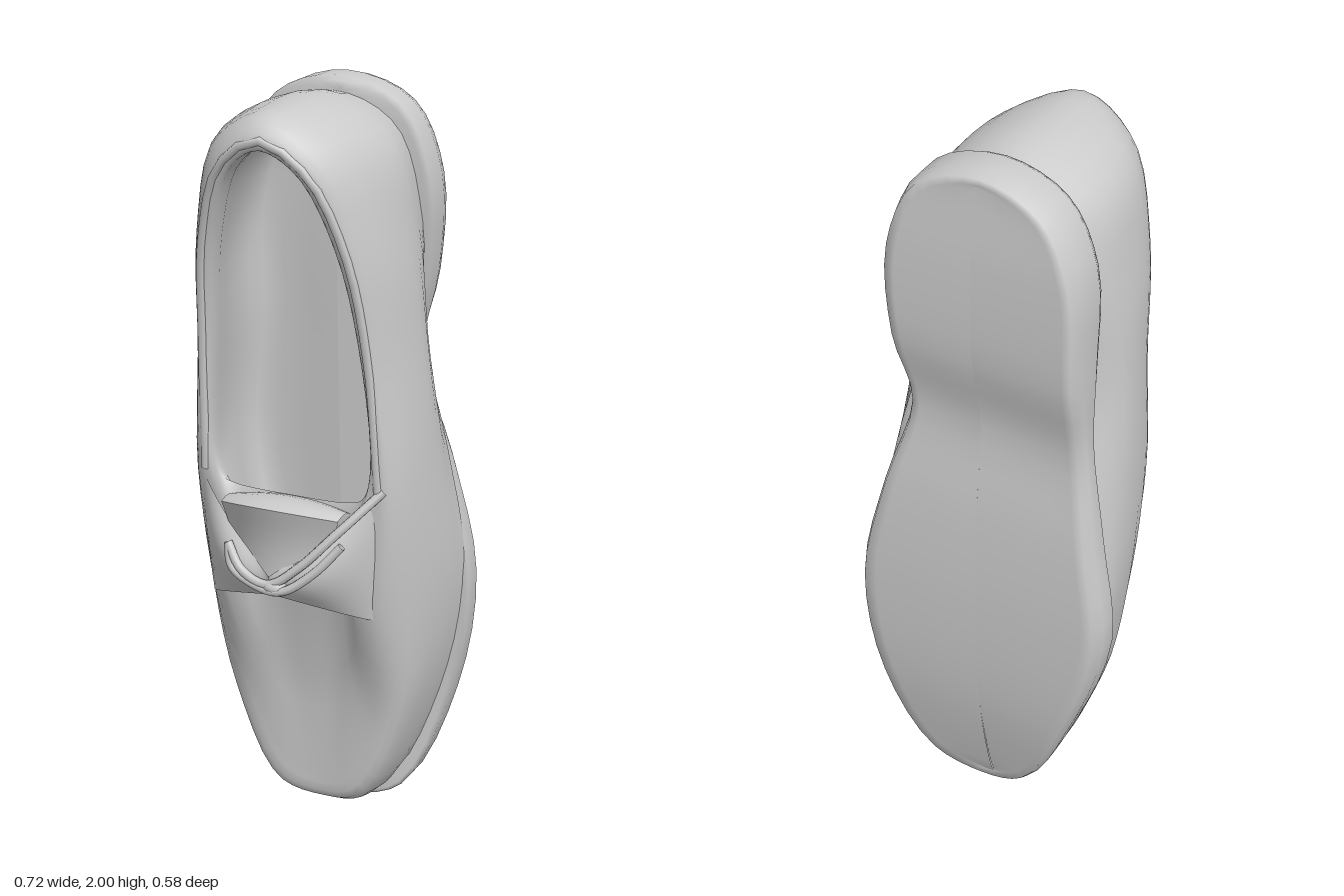
import * as THREE from 'three';
import { ParametricGeometry } from 'three/addons/geometries/ParametricGeometry.js';

const material = new THREE.MeshStandardMaterial({ color: 0xcccccc, side: THREE.DoubleSide });
const AROUND = 72;
const V = (p) => new THREE.Vector3(...p);
const mix = (a, b, t) => a + (b - a) * t;

function named(name, geometry) {
  const mesh = new THREE.Mesh(geometry, material);
  mesh.name = name;
  return mesh;
}

// Closed smooth ring through control points, sampled evenly in parameter
function ring(points) {
  const curve = new THREE.CatmullRomCurve3(points.map(V), true, 'centripetal');
  return Array.from({ length: AROUND }, (_, i) => curve.getPoint(i / AROUND));
}

// The upper leans slightly sideways from toe to heel
const lean = ([x, y, z]) => [x + 0.03 - 0.022 * y, y, z];

// Half ring from toe to heel, mirrored to the other side
const mirrored = (half) => [...half, ...half.slice(1, -1).reverse().map(([x, y, z]) => [-x, y, z])].map(lean);

// Skin over a stack of rings, with optional smooth steps between them
function loft(rings, steps = 1) {
  const rows = [];
  const columns = Array.from({ length: AROUND }, (_, i) =>
    new THREE.CatmullRomCurve3(rings.map((r) => r[i]), false, 'centripetal'));
  const count = (rings.length - 1) * steps;
  for (let k = 0; k <= count; k++) rows.push(columns.map((c) => c.getPoint(k / count)));
  const index = [];
  for (let k = 0; k < count; k++) {
    for (let i = 0; i < AROUND; i++) {
      const j = (i + 1) % AROUND;
      const a = k * AROUND + i, b = k * AROUND + j, c = a + AROUND, d = b + AROUND;
      index.push(a, b, d, a, d, c);
    }
  }
  const geometry = new THREE.BufferGeometry().setFromPoints(rows.flat());
  geometry.setIndex(index);
  geometry.computeVertexNormals();
  return geometry;
}

// Sole outline: x, y, tread z, welt z
const soleOutline = [
  [0.04, 0, -0.2, -0.14], [0.19, 0.05, -0.22, -0.145], [0.315, 0.34, -0.275, -0.18],
  [0.355, 0.68, -0.29, -0.19], [0.285, 1.0, -0.275, -0.185], [0.205, 1.28, -0.245, -0.175],
  [0.235, 1.5, -0.285, -0.16], [0.24, 1.76, -0.285, -0.145], [0.16, 1.94, -0.27, -0.14],
  [-0.02, 2.0, -0.265, -0.14], [-0.19, 1.94, -0.27, -0.14], [-0.275, 1.78, -0.285, -0.145],
  [-0.285, 1.5, -0.285, -0.16], [-0.285, 1.28, -0.245, -0.175], [-0.325, 1.0, -0.275, -0.185],
  [-0.36, 0.69, -0.29, -0.19], [-0.25, 0.34, -0.275, -0.18], [-0.1, 0.06, -0.22, -0.145],
];

function makeSole() {
  // x scale, y scale about the middle, blend from tread to welt
  const layers = [[0, 0.97, 0.03], [0.86, 0.97, 0.02], [0.95, 0.99, 0], [1, 1, 0.3], [1, 1, 0.85], [0.97, 0.99, 1], [0, 0.97, 1]];
  return named('sole', loft(layers.map(([sx, sy, t]) => ring(soleOutline.map(([x, y, zb, zf]) =>
    [x * sx, 1 + (y - 1) * sy, mix(zb, zf, t)])))));
}

// Upper: rings from the welt, over the vamp and collar, then down inside to the insole
const lowerRings = [
  [[0.01, 0.06, -0.16], [0.135, 0.085, -0.16], [0.265, 0.35, -0.195], [0.33, 0.7, -0.205], [0.28, 1.05, -0.2],
    [0.215, 1.35, -0.19], [0.23, 1.65, -0.17], [0.165, 1.89, -0.155], [0, 1.96, -0.155]],
  [[0.01, 0.045, -0.07], [0.135, 0.075, -0.07], [0.262, 0.35, -0.08], [0.328, 0.7, -0.1], [0.318, 1.05, -0.07],
    [0.295, 1.35, -0.05], [0.265, 1.65, -0.04], [0.2, 1.89, -0.03], [0, 1.985, -0.03]],
  [[0.01, 0.07, 0.03], [0.12, 0.1, 0.035], [0.24, 0.35, 0.035], [0.29, 0.68, 0.06], [0.303, 1.02, 0.08],
    [0.288, 1.35, 0.07], [0.26, 1.65, 0.1], [0.18, 1.9, 0.14], [0, 1.985, 0.13]],
  [[0.01, 0.14, 0.038], [0.085, 0.17, 0.042], [0.18, 0.38, 0.055], [0.23, 0.68, 0.125], [0.275, 1.0, 0.14],
    [0.262, 1.35, 0.14], [0.232, 1.65, 0.18], [0.15, 1.88, 0.23], [0, 1.97, 0.245]],
];
const collarRings = [
  [[0, 0.45, 0.05], [0.07, 0.46, 0.052], [0.12, 0.51, 0.07], [0.175, 0.72, 0.135], [0.25, 1.02, 0.158],
    [0.235, 1.37, 0.178], [0.2, 1.65, 0.222], [0.12, 1.85, 0.268], [0, 1.925, 0.285]],
  [[0, 0.98, 0.15], [0.08, 0.98, 0.15], [0.16, 0.985, 0.15], [0.2, 1.0, 0.15], [0.222, 1.08, 0.15],
    [0.205, 1.38, 0.165], [0.165, 1.65, 0.21], [0.09, 1.84, 0.26], [0, 1.895, 0.278]],
  [[0, 0.72, 0.03], [0.08, 0.73, 0.03], [0.16, 0.8, 0.03], [0.22, 0.95, 0.03], [0.25, 1.1, 0],
    [0.235, 1.38, 0], [0.21, 1.65, 0.02], [0.13, 1.85, 0.03], [0, 1.93, 0.03]],
  [[0, 0.5, -0.12], [0.08, 0.52, -0.12], [0.17, 0.65, -0.13], [0.23, 0.9, -0.13], [0.24, 1.1, -0.13],
    [0.21, 1.38, -0.13], [0.2, 1.65, -0.12], [0.13, 1.84, -0.12], [0, 1.92, -0.12]],
];

function makeUpper() {
  const halves = [...lowerRings, ...collarRings];
  halves.push(collarRings[3].map(([, y]) => [0, y, -0.135]));
  return named('upper', loft(halves.map((h) => ring(mirrored(h))), 3));
}

// Thin curved panel: f(u, v) gives [x, y, z]
function panel(name, f, nu, nv) {
  return named(name, new ParametricGeometry((u, v, target) => target.set(...f(u, v)), nu, nv));
}

function tube(name, points, radius) {
  return named(name, new THREE.TubeGeometry(new THREE.CatmullRomCurve3(points.map(V)), 32, radius, 7, false));
}

export function createModel() {
  const model = new THREE.Group();
  model.add(makeSole(), makeUpper());

  // Wide straps sweeping from each side of the instep in to the knot
  for (const side of [-1, 1]) {
    const label = side > 0 ? 'Left' : 'Right';
    const low = (u) => [mix(0.25, 0, u), 0.65 + 0.09 * u ** 0.8, 0.09 + 0.16 * u ** 0.6];
    const high = (u) => [mix(0.285, 0, u), mix(1.05, 0.795, u ** 0.85), 0.1 + 0.165 * u ** 0.6];
    model.add(panel('strap' + label, (u, v) => {
      const a = low(u), b = high(u);
      const puff = 0.04 * Math.sin(v * Math.PI) * Math.sin(u * Math.PI);
      return [side * mix(a[0], b[0], v), mix(a[1], b[1], v), mix(a[2], b[2], v) + puff];
    }, 18, 8));
    // Turned-under front edge of the strap
    model.add(panel('strapEdge' + label, (u, v) => {
      const [x, y, z] = low(u);
      return [side * x, y + 0.03 * v, mix(z, 0.08, v)];
    }, 18, 2));
  }

  // Tongue flaring out above the knot, rounded over at the top
  const tongueTop = (s) => [0.01 + s * 0.165, 0.985 - 0.025 * s * s, 0.285 - 0.06 * s * s];
  model.add(panel('tongue', (u, v) => {
    const s = 2 * u - 1, top = tongueTop(s);
    return [mix(0.01 + s * 0.12, top[0], v), mix(0.77, top[1], v),
      mix(0.255 - 0.04 * s * s, top[2], v) - 0.012 * Math.sin(v * Math.PI)];
  }, 14, 8));
  model.add(panel('tongueBack', (u, v) => {
    const top = tongueTop(2 * u - 1);
    return [top[0], top[1] + 0.012 * Math.sin(v * Math.PI) - 0.01 * v, mix(top[2], 0.14, v)];
  }, 14, 4));

  // Thin crossed lace strands along the strap edges
  model.add(tube('laceLeft', [[0.265, 1.03, 0.15], [0.17, 0.925, 0.225], [0.08, 0.83, 0.262],
    [0, 0.775, 0.272], [-0.08, 0.8, 0.262], [-0.125, 0.86, 0.245]], 0.012));
  model.add(tube('laceRight', [[-0.125, 0.86, 0.245], [-0.11, 0.8, 0.255], [-0.03, 0.765, 0.27],
    [0.04, 0.765, 0.278], [0.12, 0.82, 0.262], [0.19, 0.9, 0.235]], 0.012));
  const knot = named('laceKnot', new THREE.SphereGeometry(0.024, 12, 8));
  knot.position.set(0.02, 0.77, 0.268);
  knot.scale.set(1.5, 0.8, 0.9);
  model.add(knot);

  // Rolled binding around the collar
  const half = collarRings[0].slice(4).map(([x, y, z]) => [x * 0.98, y - 0.005, z - 0.005]);
  const binding = [...half, ...half.slice(0, -1).reverse().map(([x, y, z]) => [-x, y, z])].map(lean);
  model.add(tube('collarBinding', binding, 0.012));

  return model;
}
